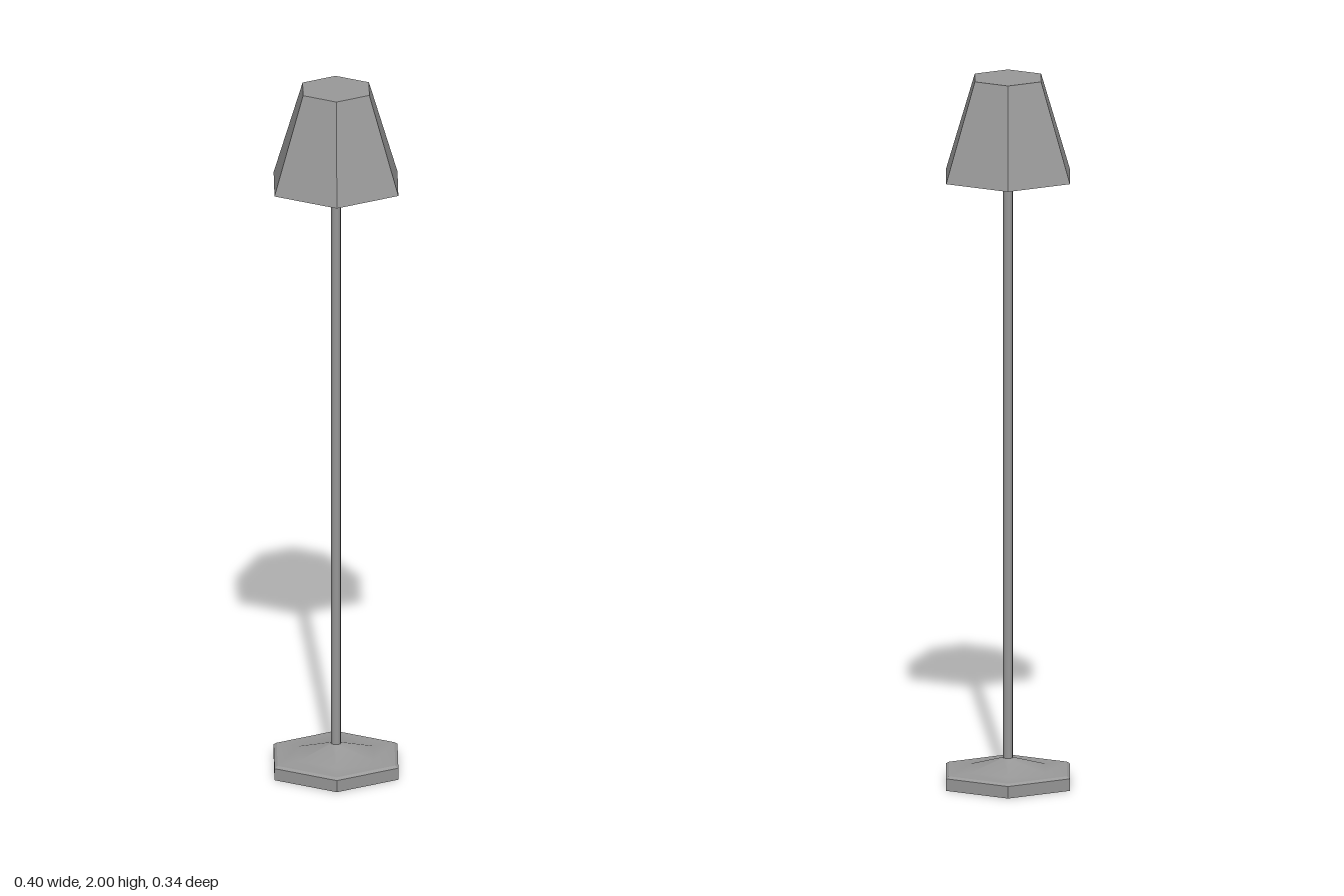
import * as THREE from 'three';

const GREY = 0x999999;

// Turned form with corners on the x axis; profile is [radius, y] from bottom to top.
function turned(name, profile, { sides = 6, ...options } = {}) {
  const points = profile.map(([r, y]) => new THREE.Vector2(r, y));
  const mesh = new THREE.Mesh(
    new THREE.LatheGeometry(points, sides, Math.PI / 2),
    new THREE.MeshStandardMaterial({ color: GREY, flatShading: true, ...options })
  );
  mesh.name = name;
  return mesh;
}

export function createModel() {
  const lamp = new THREE.Group();
  lamp.name = 'floorLamp';

  // Hexagonal foot with a narrow bevel round its upper edge
  lamp.add(turned('base', [[0, 0], [0.198, 0], [0.198, 0.034], [0.188, 0.04]]));

  // Nearly flat top that sweeps up smoothly to the pole
  lamp.add(turned('baseTop', [[0.188, 0.04], [0.12, 0.042], [0.014, 0.073]], { flatShading: false }));

  // Thin round pole running up into the shade
  lamp.add(turned('pole', [[0.014, 0.06], [0.014, 1.99]], { sides: 8, flatShading: false }));

  // Tapered shade, closed on top and open below
  lamp.add(turned('shade', [[0.198, 1.72], [0.106, 2], [0, 2]], { side: THREE.DoubleSide }));

  return lamp;
}
